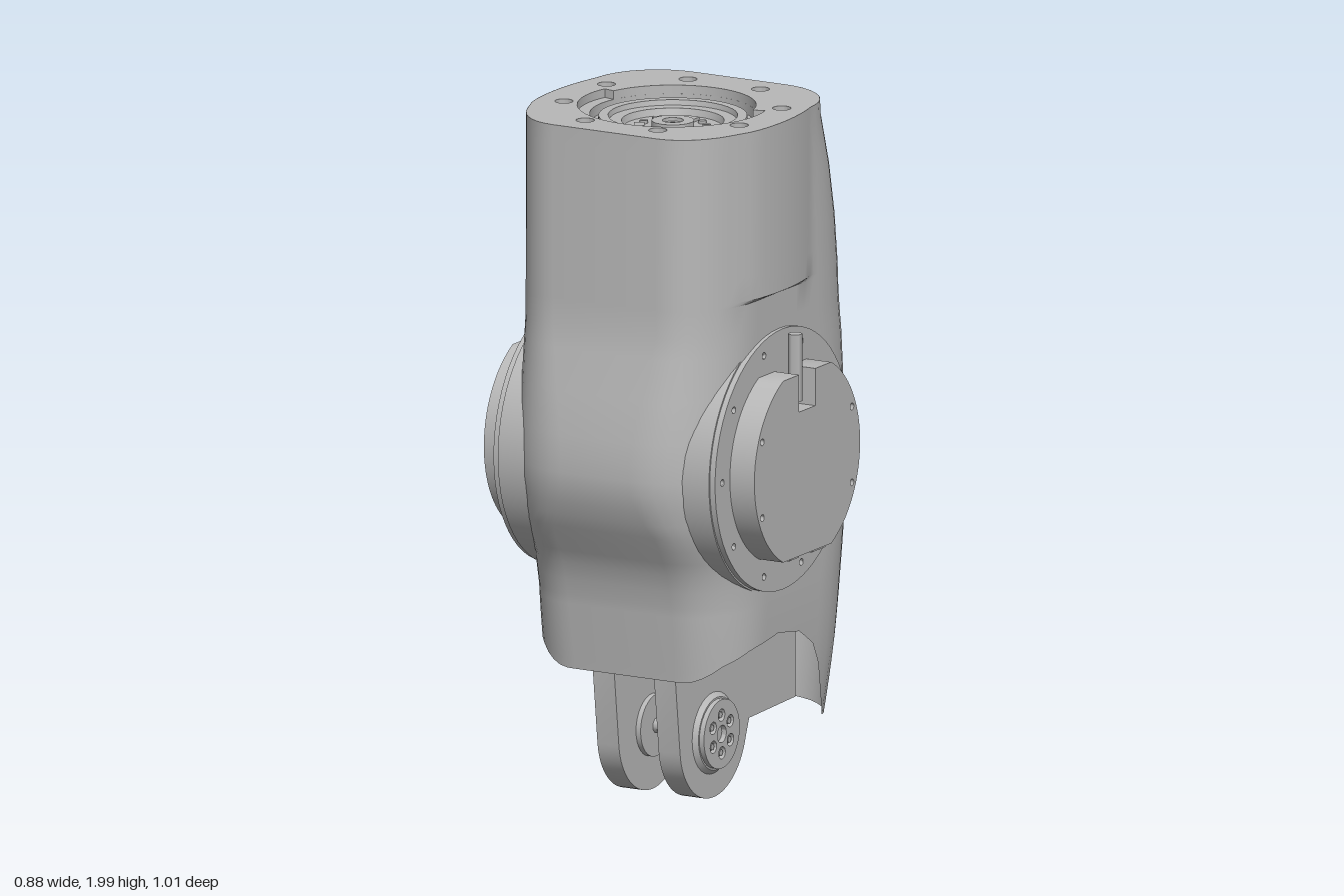
import * as THREE from 'three';
import { toCreasedNormals } from 'three/addons/utils/BufferGeometryUtils.js';

const grey = new THREE.MeshStandardMaterial({ color: 0xb8b8b8, side: THREE.DoubleSide });
grey.name = 'light grey';

// front and back profiles of the shell: y, z
const FRONT = [[2, 0.445], [1.42, 0.447], [1.3, 0.468], [1.18, 0.49], [1.06, 0.505], [0.97, 0.502],
  [0.88, 0.472], [0.8, 0.43], [0.72, 0.388], [0.62, 0.362], [0.4, 0.335], [0.2, 0.32]];
const BACK = [[2, -0.305], [1.95, -0.315], [1.8, -0.375], [1.65, -0.42], [1.5, -0.452], [1.3, -0.482],
  [1.06, -0.502], [0.9, -0.505], [0.72, -0.494], [0.4, -0.452], [0.2, -0.418]];
// lower edge of the shell: z, y
const HEM = [[0.33, 0.4], [0.28, 0.45], [0.2, 0.49], [0.07, 0.51], [-0.05, 0.49], [-0.13, 0.44],
  [-0.18, 0.36], [-0.22, 0.26], [-0.25, 0.21], [-0.27, 0.2]];
const SLOT = { half: 0.045, low: 0.31, high: 1.06 };
const { clamp, lerp } = THREE.MathUtils;

// interpolate a table whose first column descends
function lookup(table, key) {
  if (key >= table[0][0]) return table[0][1];
  for (let i = 1; i < table.length; i++) {
    const [k0, v0] = table[i - 1], [k1, v1] = table[i];
    if (key >= k1) return lerp(v0, v1, (key - k0) / (k1 - k0));
  }
  return table[table.length - 1][1];
}

// closed outline [x, z] from the front, round the left side, to the back and home
function outline(y) {
  const zf = lookup(FRONT, y), zb = lookup(BACK, y);
  const w = 0.35 - 0.03 * clamp((0.7 - y) / 0.5, 0, 1) ** 2;
  const fx = 0.18 + 0.06 * clamp((zf - 0.445) / 0.06, 0, 1);
  const fz = lerp(0.18, 0.24, clamp((y - 0.4) / 0.4, 0, 1));
  const narrow = clamp((y - 1.4) / 0.6, 0, 1);
  const bx = 0.25 - 0.05 * narrow, bz = 0.3 - 0.1 * narrow - 0.04 * clamp((0.6 - y) / 0.4, 0, 1);
  const bulge = y > 1.505 ? 0.025 : 0;
  const half = [], N = 10, S = 16;
  for (let i = 0; i <= N; i++) {
    const a = i / N * Math.PI / 2;
    half.push([w - fx + fx * Math.sin(a), zf - fz + fz * Math.cos(a)]);
  }
  for (let i = 1; i < S; i++) half.push([w, lerp(zf - fz, zb + bz, i / S)]);
  for (let i = 0; i <= N; i++) {
    const a = i / N * Math.PI / 2;
    half.push([w - bx + bx * Math.cos(a), zb + bz - bz * Math.sin(a)]);
  }
  half.push([SLOT.half, zb]);
  for (const p of half) p[0] += bulge * Math.max(0, 1 - ((p[1] - 0.09) / 0.2) ** 2);
  return half.concat(half.slice().reverse().map(([x, z]) => [-x, z]));
}

function shellGeometry() {
  const hem = outline(0.4).map(p => lookup(HEM, p[1]));
  const n = hem.length, pos = [], idx = [];
  const heights = [2, 1.95, 1.87, 1.8, 1.72, 1.65, 1.58, 1.512, 1.5, 1.42, 1.36, 1.3, 1.24, 1.18, 1.12, 1.06,
    1.01, 0.97, 0.92, 0.88, 0.84, 0.8, 0.76, 0.72, 0.67, 0.62];
  const rows = heights.map(y => hem.map(() => y));
  for (const t of [0.12, 0.25, 0.38, 0.5, 0.62, 0.738, 0.87, 1]) rows.push(hem.map(h => lerp(0.62, h, t)));
  for (const row of rows) row.forEach((y, c) => {
    const [x, z] = outline(y)[c];
    pos.push(x, y, z);
  });
  for (let r = 0; r < rows.length - 1; r++) for (let c = 0; c < n; c++) {
    const mid = (rows[r][c] + rows[r + 1][c]) / 2;
    if (c === n / 2 - 1 && mid > SLOT.low && mid < SLOT.high) continue;
    const a = r * n + c, b = r * n + (c + 1) % n, d = a + n, e = b + n;
    idx.push(a, d, b, b, d, e);
  }
  const g = new THREE.BufferGeometry();
  g.setAttribute('position', new THREE.Float32BufferAttribute(pos, 3));
  g.setIndex(idx);
  return toCreasedNormals(g, 0.6);
}

function add(parent, name, geometry, x = 0, y = 0, z = 0) {
  const m = new THREE.Mesh(geometry, grey);
  m.name = name;
  m.position.set(x, y, z);
  parent.add(m);
  return m;
}
function addGroup(parent, name) {
  const g = new THREE.Group();
  g.name = name;
  parent.add(g);
  return g;
}
const toShape = pts => new THREE.Shape(pts.map(p => new THREE.Vector2(p[0], p[1])));
function hole(shape, x, y, r) {
  shape.holes.push(new THREE.Path().absarc(x, y, r, 0, Math.PI * 2, true));
}
// extrude a (z, y) shape between two x positions
function slab(shape, x0, x1, segments = 16) {
  const g = new THREE.ExtrudeGeometry(shape, { depth: x1 - x0, bevelEnabled: false, curveSegments: segments });
  return toCreasedNormals(g.rotateY(-Math.PI / 2).translate(x1, 0, 0), 0.5);
}
const disc = (r, h, n) => new THREE.CylinderGeometry(r, r, h, n);
const xDisc = (rOut, rIn, h, n = 32) => new THREE.CylinderGeometry(rOut, rIn, h, n).rotateZ(-Math.PI / 2);

function topFlange(root) {
  const g = addGroup(root, 'topFlange'), cz = 0.065;
  // rim plate with a stepped opening and eight bolt holes
  const plate = toShape(outline(2).map(([x, z]) => [x * 0.998, -z]));
  const opening = new THREE.Path();
  opening.absarc(0, -cz, 0.235, 0.25, Math.PI - 0.25, false);
  opening.absarc(0, -cz, 0.27, Math.PI - 0.25, Math.PI * 2 + 0.25, false);
  plate.holes.push(opening);
  for (let i = 0; i < 8; i++) {
    const a = (i + 0.5) * Math.PI / 4, x = 0.31 * Math.cos(a), z = cz + 0.31 * Math.sin(a);
    hole(plate, x, -z, 0.026);
    add(g, 'boltSeat', disc(0.028, 0.01, 10), x, 1.955, z);
    add(g, 'bolt', disc(0.011, 0.02, 6), x, 1.967, z);
  }
  const pg = new THREE.ExtrudeGeometry(plate, { depth: 0.05, bevelEnabled: false, curveSegments: 20 });
  add(g, 'rimPlate', toCreasedNormals(pg.rotateX(-Math.PI / 2), 0.5), 0, 1.95, 0);
  // concentric steps of the turning joint
  const profile = [[0.001, 1.91], [0.016, 1.91], [0.016, 1.945], [0.03, 1.945], [0.03, 1.955], [0.06, 1.955],
    [0.06, 1.935], [0.14, 1.935], [0.145, 1.955], [0.18, 1.955], [0.183, 1.97], [0.21, 1.97], [0.213, 1.945],
    [0.235, 1.945], [0.235, 1.975], [0.275, 1.975]].map(p => new THREE.Vector2(...p));
  add(g, 'jointRings', toCreasedNormals(new THREE.LatheGeometry(profile, 40), 0.5), 0, 0, cz);
  for (let i = 0; i < 12; i++) {
    const a = i * Math.PI / 6 - Math.PI / 2, x = 0.095 * Math.cos(a), z = cz + 0.095 * Math.sin(a);
    if (i % 4 === 0) add(g, 'key', new THREE.BoxGeometry(0.03, 0.012, 0.045), x, 1.938, z).rotation.y = -a;
    else add(g, 'jointBolt', disc(0.012, 0.012, 6), x, 1.938, z);
  }
}

// side joint drawn for +x about its own centre; turned half round for the other side
function sideJoint(root, name, turn) {
  const g = addGroup(root, name);
  g.position.set(0, 1.017, 0.07);
  g.rotation.z = turn;
  add(g, 'drum', xDisc(0.383, 0.383, 0.15, 64), 0.27, 0, 0);
  const ring = new THREE.Shape().absarc(0, 0, 0.378, 0, Math.PI * 2);
  for (let i = 0; i < 10; i++) {
    const a = i * Math.PI / 5;
    hole(ring, 0.337 * Math.cos(a), 0.337 * Math.sin(a), 0.01);
  }
  add(g, 'ring', slab(ring, 0.34, 0.362, 32));
  // cap with flat top and bottom and a square notch
  const R = 0.295, a0 = Math.asin(0.263 / R);
  const cap = new THREE.Shape();
  cap.absarc(0, 0, R, -a0, a0, false);
  [[0.045, 0.263], [0.045, 0.155], [-0.045, 0.155], [-0.045, 0.263]].forEach(p => cap.lineTo(...p));
  cap.absarc(0, 0, R, Math.PI - a0, Math.PI + a0, false);
  for (const s of [-1, 1]) for (const h of [-0.11, 0.11]) hole(cap, s * 0.25, h, 0.01);
  add(g, 'cap', slab(cap, 0.355, 0.442, 24));
  add(g, 'lockingPin', disc(0.021, 0.195, 6), 0.4, 0.27, -0.005);
  // connectors on the flat opposite the notch
  for (const [z, len] of [[-0.075, 0.07], [0.06, 0.04]]) {
    add(g, 'connector', new THREE.BoxGeometry(0.03, 0.008, len), 0.422, -0.265, z);
    for (const s of [-1, 1]) add(g, 'connectorPin', disc(0.006, 0.008, 6), 0.422, -0.27, z + s * len * 0.28);
  }
}

function leg(root, side) {
  const g = addGroup(root, side > 0 ? 'leftLeg' : 'rightLeg');
  const span = (a, b) => side > 0 ? [a, b] : [-b, -a];
  const cz = 0.07, cy = 0.195;
  const s = toShape([[0.285, 0.42], [0.285, 0.58], [-0.39, 0.58], [-0.39, 0.205], [-0.13, 0.197]]);
  s.absarc(cz, cy, 0.187, Math.PI * 1.09, Math.PI * 1.96, false);
  hole(s, 0.235, 0.44, 0.022);
  add(g, 'legPlate', slab(s, ...span(0.065, 0.135)));
  // bearing cover with six bolts outside, smaller boss inside
  const cover = new THREE.Shape().absarc(cz, cy, 0.1, 0, Math.PI * 2);
  for (let i = 0; i < 6; i++) {
    const a = i * Math.PI / 3 + 0.5, z = cz + 0.055 * Math.cos(a), y = cy + 0.055 * Math.sin(a);
    hole(cover, z, y, 0.018);
    add(g, 'coverBolt', xDisc(0.01, 0.01, 0.02, 6), side * 0.15, y, z);
  }
  hole(cover, cz, cy, 0.025);
  add(g, 'cover', slab(cover, ...span(0.14, 0.163)));
  add(g, 'coverBase', side > 0 ? xDisc(0.105, 0.125, 0.02) : xDisc(0.125, 0.105, 0.02), side * 0.138, cy, cz);
  add(g, 'innerBoss', xDisc(0.09, 0.09, 0.02), side * 0.06, cy, cz);
  add(g, 'innerHub', xDisc(0.022, 0.022, 0.03, 12), side * 0.052, cy, cz);
}

export function createModel() {
  const root = new THREE.Group();
  root.name = 'robotLimbSegment';
  add(root, 'shell', shellGeometry());
  topFlange(root);
  sideJoint(root, 'leftJoint', 0);
  sideJoint(root, 'rightJoint', Math.PI);
  leg(root, 1);
  leg(root, -1);
  add(root, 'legMount', new THREE.BoxGeometry(0.56, 0.05, 0.56), 0, 0.57, -0.06);

  // walls of the long slot in the back
  const back = [], inner = [];
  for (let i = 0; i <= 12; i++) {
    const y = lerp(SLOT.low, SLOT.high, i / 12), z = lookup(BACK, y);
    back.push([z + 0.001, y]);
    inner.unshift([z + 0.035, y]);
  }
  for (const x of [-0.05, 0.045]) add(root, 'slotWall', slab(toShape(back.concat(inner)), x, x + 0.005));
  return root;
}
